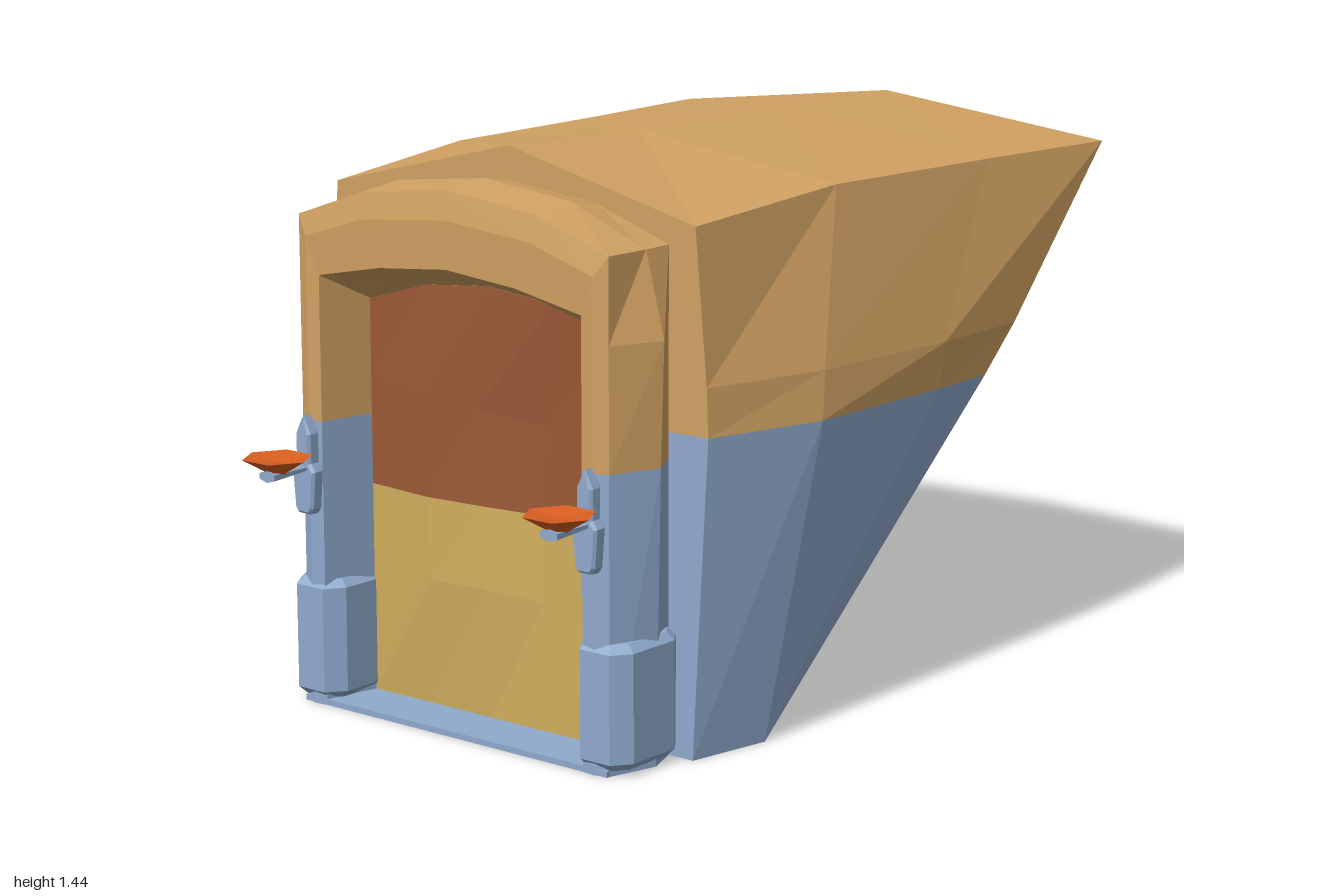
import * as THREE from 'three';

const flat = (name, color) => {
  const m = new THREE.MeshStandardMaterial({ color, flatShading: true, side: THREE.DoubleSide });
  m.name = name;
  return m;
};

export function createModel() {
  const model = new THREE.Group();
  const stone = flat('blue stone', 0x8faacd);
  const sand = flat('sandstone', 0xd0a162);
  const gold = flat('gold door', 0xcfad5c);
  const rust = flat('rust door', 0x9c5836);
  const orange = flat('orange', 0xda5f20);

  const add = (name, geo, mat, parent = model) => {
    const mesh = new THREE.Mesh(geo, mat);
    mesh.name = name;
    parent.add(mesh);
    return mesh;
  };

  // Skins a grid of points; columns x rows gives the outward side
  function skin(name, rows, mat) {
    const pos = [];
    const tri = (a, b, c) => {
      const t = [a, b, c].map((p) => new THREE.Vector3(...p));
      if (new THREE.Triangle(...t).getArea() > 1e-6) pos.push(...a, ...b, ...c);
    };
    for (let i = 0; i + 1 < rows.length; i++) {
      for (let j = 0; j + 1 < rows[i].length; j++) {
        const a = rows[i][j], b = rows[i][j + 1], c = rows[i + 1][j + 1], d = rows[i + 1][j];
        tri(a, b, c);
        tri(a, c, d);
      }
    }
    const geo = new THREE.BufferGeometry();
    geo.setAttribute('position', new THREE.Float32BufferAttribute(pos, 3));
    geo.computeVertexNormals();
    add(name, geo, mat);
  }

  // Mirrors rows over x = 0 and colours everything below the split row as stone
  function arch(name, rows, split) {
    const mirror = rows.slice(0, -1).reverse().map((r) => r.map(([x, y, z]) => [-x, y, z]));
    const all = [...rows, ...mirror], n = all.length;
    skin(name + 'LowerLeft', all.slice(0, split + 1), stone);
    skin(name + 'Upper', all.slice(split, n - split), sand);
    skin(name + 'LowerRight', all.slice(n - split - 1), stone);
  }

  // Main body, swept backwards: each row runs front centre, front, two stations, back, back centre
  arch('body', [
    [[0, 0, .57], [0, 0, .57], [0, 0, .34], [0, 0, .34], [0, 0, .34], [0, 0, .34]],
    [[0, 0, .57], [.575, 0, .57], [.617, 0, .34], [.617, 0, .34], [.617, 0, .34], [0, 0, .34]],
    [[0, .8, .57], [.62, .8, .57], [.71, .8, .24], [.712, .8, -.25], [.705, .8, -.46], [0, .8, -.51]],
    [[0, .92, .57], [.615, .92, .57], [.7, .92, .22], [.725, .92, -.25], [.712, .92, -.58], [0, .92, -.61]],
    [[0, 1.3, .57], [.58, 1.3, .57], [.617, 1.345, .07], [.655, 1.345, -.53], [.7, 1.345, -1], [0, 1.345, -1]],
    [[0, 1.44, .57], [0, 1.44, .57], [0, 1.425, .07], [0, 1.425, -.53], [0, 1.425, -1], [0, 1.425, -1]],
  ], 2);

  // Door frame: profiles from the door face out over the front to the back
  const outer = [[.5, 0], [.5, .735], [.5, 1.04], [.5, 1.25], [.28, 1.325], [0, 1.355]];
  const profiles = [
    [.65, [[.395, 0], [.395, .735], [.395, .95], [.395, 1.03], [.21, 1.085], [0, 1.105]]],
    [.8, [[.425, 0], [.425, .735], [.425, 1], [.425, 1.105], [.22, 1.145], [0, 1.165]]],
    [.805, [[.465, 0], [.465, .735], [.465, 1], [.465, 1.2], [.27, 1.26], [0, 1.285]]],
    [.79, outer],
    [.66, [[.535, 0], [.55, .735], [.56, 1.04], [.505, 1.25], [.28, 1.34], [0, 1.37]]],
    [.57, outer],
  ];
  arch('frame', outer.map((_, i) => profiles.map(([z, p]) => [...p[i], z])), 1);

  // Threshold
  const sill = add('threshold', new THREE.BoxGeometry(1, .015, .23), stone);
  sill.position.set(0, .0075, .685);

  // Dented door sheet in two colours
  const xs = [-.395, -.21, 0, .21, .395];
  const top = [1.03, 1.085, 1.105, 1.085, 1.03];
  const dent = (i, j) => .022 * Math.sin(i * 12.9 + j * 7.3);
  const doorRows = [0, 1, 2, 3, 4].map((i) => xs.map((x, j) => {
    const inside = i % 4 && j % 4;
    const y = i === 4 ? top[j] : [.015, .28, .555, .83][i] + (inside && i !== 2 ? 3 * dent(j, i) : 0);
    return [inside ? x + 2 * dent(i + 3, j) : x, y, .652 + (inside ? dent(i, j) : 0)];
  }));
  skin('lowerDoor', doorRows.slice(0, 3), gold);
  skin('upperDoor', doorRows.slice(2), rust);

  // Chamfered plinth block, extruded upwards
  const block = new THREE.Shape([
    [-.06, -.07], [-.035, -.105], [.035, -.105], [.06, -.07],
    [.06, .07], [.035, .105], [-.035, .105], [-.06, .07],
  ].map((p) => new THREE.Vector2(...p)));
  const plinthGeo = new THREE.ExtrudeGeometry(block, {
    depth: .27, bevelEnabled: true, bevelSize: .02, bevelThickness: .02, bevelSegments: 1,
  });
  plinthGeo.rotateX(-Math.PI / 2);

  // Pointed wall plate of the torch
  const half = [[.02, .5], [.03, .515], [.038, .61], [.024, .63], [.024, .705]];
  const plate = new THREE.Shape([
    ...half, [0, .75], ...half.slice().reverse().map(([x, y]) => [-x, y]),
  ].map((p) => new THREE.Vector2(...p)));
  const plateGeo = new THREE.ExtrudeGeometry(plate, {
    depth: .025, bevelEnabled: true, bevelSize: .006, bevelOffset: -.006, bevelThickness: .008, bevelSegments: 1,
  });

  // Torch arm and shallow six-sided bowl
  const armGeo = new THREE.CylinderGeometry(.03, .016, .14, 6);
  armGeo.rotateX(Math.PI / 2);
  armGeo.scale(1, .5, 1);
  const bowlGeo = new THREE.LatheGeometry(
    [[0, .603], [.035, .628], [.09, .66], [0, .648]].map((p) => new THREE.Vector2(...p)), 6);
  bowlGeo.rotateY(Math.PI / 6);

  for (const [side, s] of [['left', 1], ['right', -1]]) {
    add(side + 'Plinth', plinthGeo, stone).position.set(s * .47, .035, .685);
    const torch = new THREE.Group();
    torch.name = side + 'Torch';
    torch.position.x = s * .46;
    model.add(torch);
    add('wallPlate', plateGeo, stone, torch).position.z = .804;
    add('arm', armGeo, stone, torch).position.set(0, .617, .89);
    add('bowl', bowlGeo, orange, torch).position.z = .922;
  }
  return model;
}
